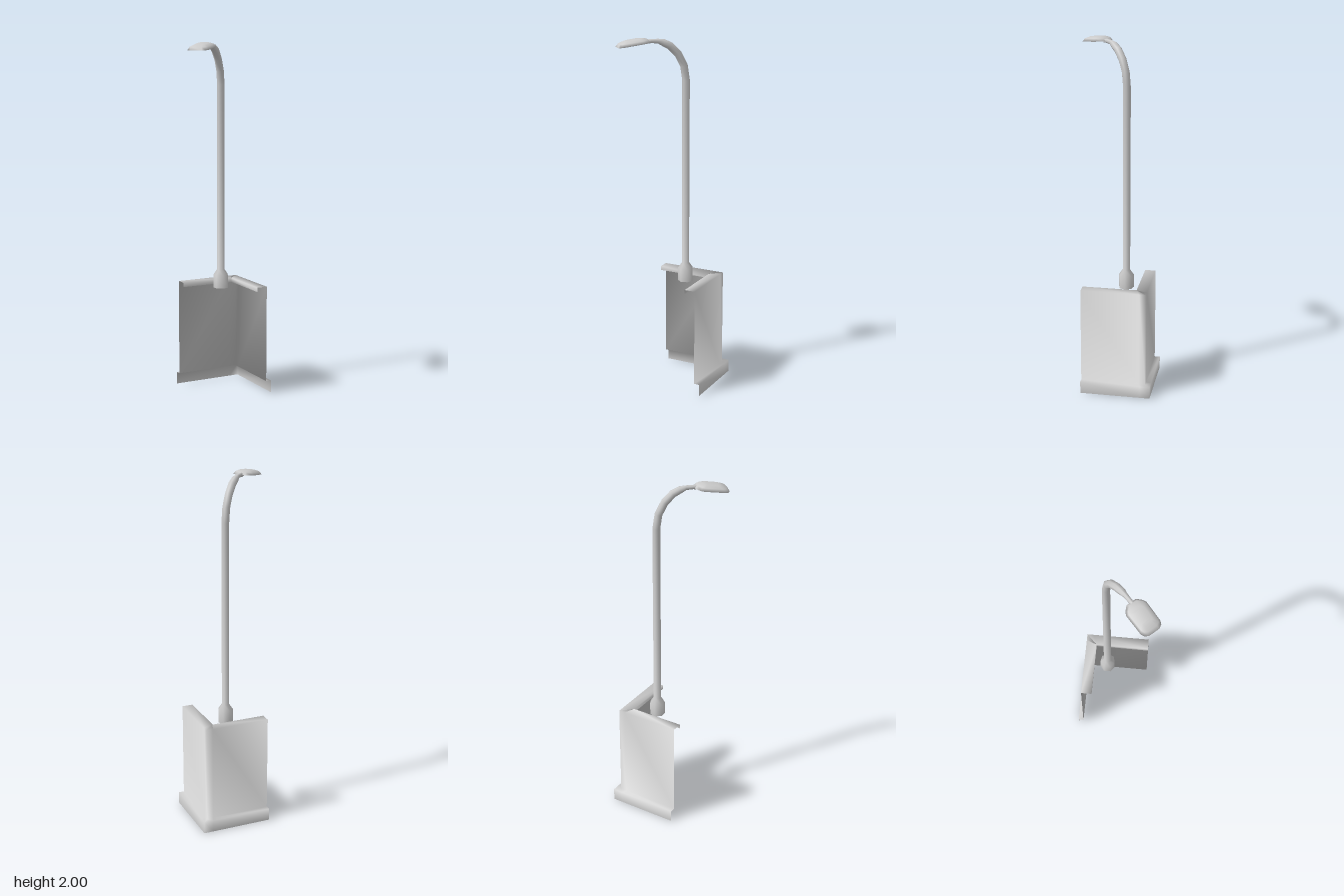
import * as THREE from 'three';

// Wall sheet and lamp tube are open surfaces
const grey = new THREE.MeshStandardMaterial({ color: 0xcccccc, side: THREE.DoubleSide });

// Mesh with soft normals: every triangle round a corner counts equally, whatever its size
function softMesh(name, points, index) {
  const v = points.map((p) => new THREE.Vector3(...p));
  const normals = points.map(() => new THREE.Vector3());
  for (let i = 0; i < index.length; i += 3) {
    const [a, b, c] = index.slice(i, i + 3);
    const n = v[b].clone().sub(v[a]).cross(v[c].clone().sub(v[a])).normalize();
    for (const k of [a, b, c]) normals[k].add(n);
  }
  const g = new THREE.BufferGeometry();
  g.setAttribute('position', new THREE.Float32BufferAttribute(points.flat(), 3));
  g.setAttribute('normal', new THREE.Float32BufferAttribute(normals.flatMap((n) => n.normalize().toArray()), 3));
  g.setIndex(index);
  const m = new THREE.Mesh(g, grey);
  m.name = name;
  return m;
}

// Skin over closed rings, each counter-clockwise seen from its end
function loft(name, rings, capped = false) {
  const n = rings[0].length, last = (rings.length - 1) * n, index = [];
  for (let i = 0; i < rings.length - 1; i++) {
    for (let j = 0; j < n; j++) {
      const k = (j + 1) % n, a = i * n, b = a + n;
      index.push(a + j, a + k, b + j, a + k, b + k, b + j);
    }
  }
  // Caps are strips running from one side of the ring to the other
  for (let j = 0; capped && j < n / 2 - 1; j++) {
    const p = n - 2 - j, q = n - 1 - j;
    index.push(j, q, j + 1, j + 1, q, p);
    index.push(last + j, last + j + 1, last + q, last + j + 1, last + p, last + q);
  }
  return softMesh(name, rings.flat(), index);
}

// Sheet swept round the corner; profile is [outward offset, height]
function cornerSheet(name, profile) {
  const points = [], index = [];
  for (const [d, y] of profile) {
    const x = 0.227 + d, z = -0.2 - d, bend = 0.19 + 0.4 * d;
    points.push([-0.148, y, z], [bend, y, z], [x, y, z], [x, y, 0.027 - bend], [x, y, 0.172]);
  }
  for (let i = 0; i < profile.length - 1; i++) {
    for (let j = 0; j < 4; j++) {
      const a = i * 5 + j, b = a + 1, c = a + 5, d = c + 1;
      index.push(a, c, d, a, d, b);
    }
  }
  return softMesh(name, points, index);
}

// Collar, pole and bent arm as seven-sided rings: stations are [reach, height, radius]
function poleRings() {
  const sides = 7;
  const stations = [
    [0, 0.595, 0.044], [0, 0.67, 0.044], [0, 0.702, 0.022],
    [0, 1.76, 0.022], [0.012, 1.84, 0.022], [0.045, 1.905, 0.022], [0.09, 1.951, 0.022],
    [0.13, 1.971, 0.02], [0.16, 1.98, 0.013], [0.2, 1.981, 0.012], [0.226, 1.978, 0.012],
  ];
  return stations.map(([x, y, r], i) => {
    const p = stations[Math.max(i - 1, 0)], q = stations[Math.min(i + 1, stations.length - 1)];
    const len = Math.hypot(q[0] - p[0], q[1] - p[1]);
    const tx = (q[0] - p[0]) / len, ty = (q[1] - p[1]) / len;
    return Array.from({ length: sides }, (_, j) => {
      const t = 2.4 + (j / sides) * Math.PI * 2, c = r * Math.cos(t);
      return [x + c * ty, y - c * tx, -r * Math.sin(t)];
    });
  });
}

// Rounded outline of the lamp head, scaled about its middle and tilted down outward
function headRing(scale, lift) {
  const half = [[0.39, -0.032], [0.378, -0.052], [0.36, -0.06], [0.247, -0.062], [0.229, -0.053], [0.205, -0.028]];
  const outline = [...half, ...half.map(([x, z]) => [x, -z]).reverse()];
  return outline.map(([x, z]) => {
    const u = 0.298 + (x - 0.298) * scale;
    return [u, 1.98 - 0.14 * (u - 0.205) + lift, z * scale];
  });
}

export function createModel() {
  const model = new THREE.Group();
  model.name = 'cornerWallWithLamp';

  // Corner wall: projecting plinth, upright panel, and cap with a short inner lip
  const wall = cornerSheet('cornerWall', [
    [0.031, 0], [0.031, 0.07], [0, 0.07], [0, 0.625], [-0.062, 0.625], [-0.062, 0.6],
  ]);

  // Street lamp reaching diagonally out of the corner
  const lamp = new THREE.Group();
  lamp.name = 'streetLamp';
  lamp.position.set(0.054, 0, -0.06);
  lamp.rotation.y = -2.4;
  lamp.add(
    loft('poleAndArm', poleRings()),
    loft('lampHead', [headRing(1, 0), headRing(0.84, 0.016), headRing(0.5, 0.026)], true),
  );

  model.add(wall, lamp);
  return model;
}
